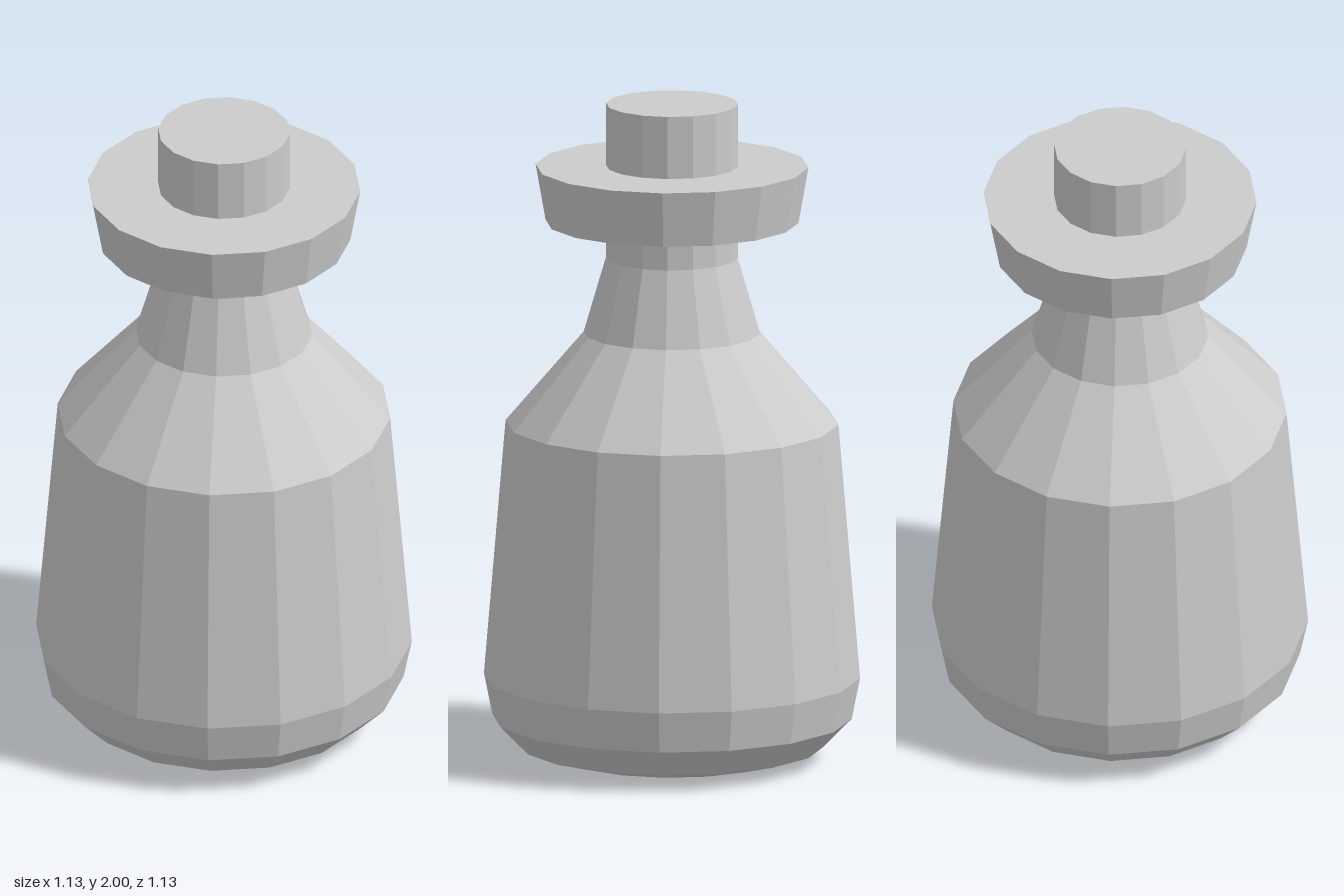
import * as THREE from 'three';

const SIDES = 16;

export function createModel() {
  const model = new THREE.Group();
  model.name = 'stopperedBottle';

  const grey = new THREE.MeshStandardMaterial({ color: 0xcccccc });
  grey.name = 'plain grey';
  grey.flatShading = true;

  // Turns a [radius, height] profile, listed from bottom to top
  function turned(name, profile) {
    const points = profile.map(([r, y]) => new THREE.Vector2(r, y));
    const mesh = new THREE.Mesh(new THREE.LatheGeometry(points, SIDES), grey);
    mesh.name = name;
    model.add(mesh);
  }

  // Tapered body with rounded foot, sloping shoulder and narrow neck
  turned('bottleBody', [
    [0, 0], [0.33, 0.005], [0.455, 0.038], [0.54, 0.125], [0.565, 0.25],
    [0.5, 1.025], [0.265, 1.3], [0.198, 1.53], [0.198, 1.64],
  ]);

  // Wide flared lip around the mouth
  turned('lip', [[0.198, 1.64], [0.38, 1.64], [0.41, 1.81], [0.198, 1.81]]);

  // Stopper standing out of the lip
  turned('stopper', [[0.198, 1.81], [0.198, 2], [0, 2]]);

  return model;
}
